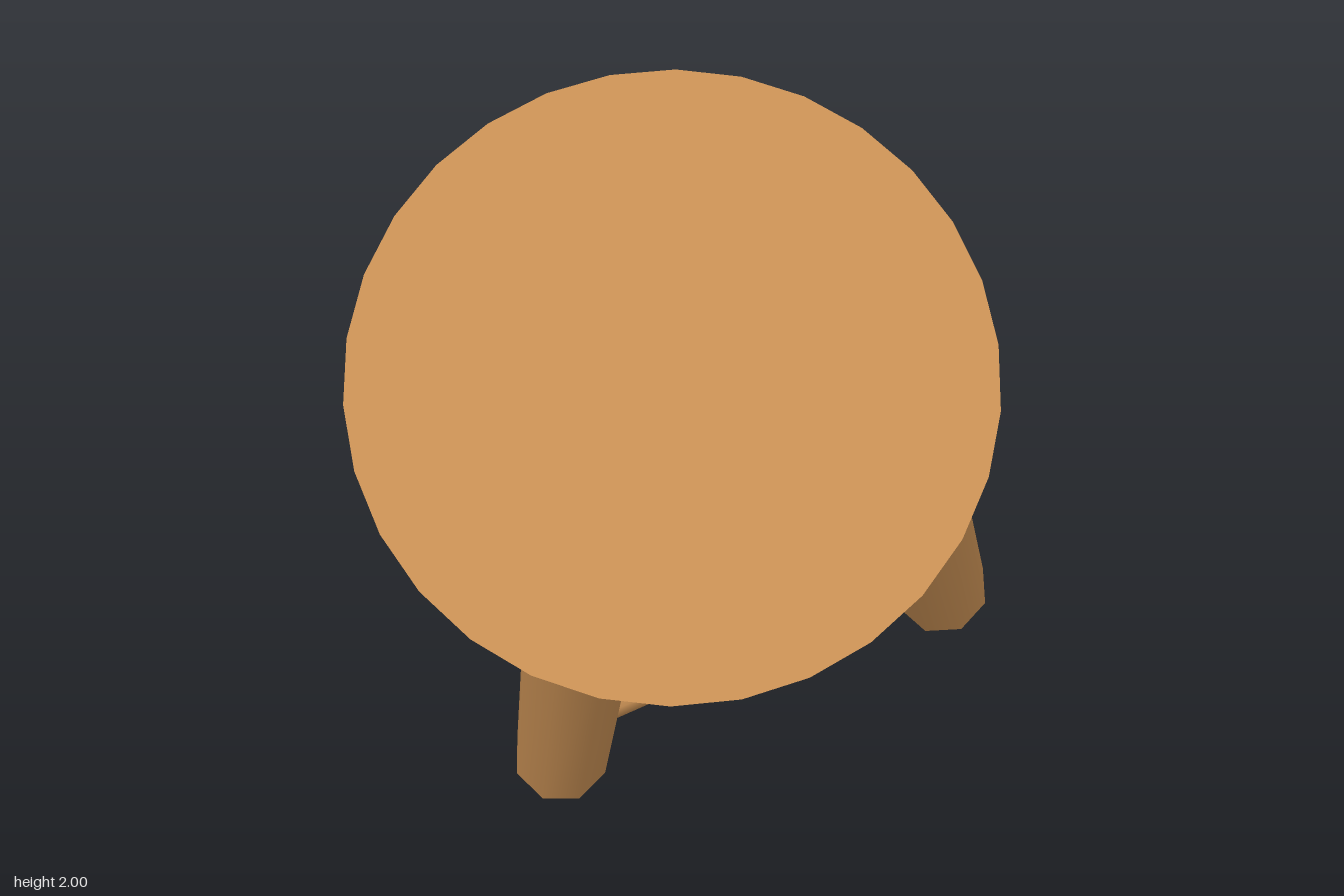
import * as THREE from 'three';

export function createModel() {
  const model = new THREE.Group();
  const wood = new THREE.MeshStandardMaterial({ color: 0xc68e53 });
  wood.name = 'warm wood';

  // Stool in its own upright frame: origin at the centre of the seat top
  const stool = new THREE.Group();
  stool.name = 'stool';
  model.add(stool);

  const UP = new THREE.Vector3(0, 1, 0);
  function rod(name, from, to, radius, sides) {
    const dir = to.clone().sub(from);
    const mesh = new THREE.Mesh(new THREE.CylinderGeometry(radius, radius, dir.length(), sides), wood);
    mesh.name = name;
    mesh.position.copy(from).add(to).multiplyScalar(0.5);
    mesh.quaternion.setFromUnitVectors(UP, dir.normalize());
    stool.add(mesh);
  }

  // Round seat, slightly narrower underneath
  const seat = new THREE.Mesh(new THREE.CylinderGeometry(0.756, 0.724, 0.22, 30), wood);
  seat.name = 'seat';
  seat.position.y = -0.11;
  stool.add(seat);

  // Splayed legs: distance from the middle grows towards the feet
  const topY = -0.18, footY = -1.235;
  const spread = (y) => 0.423 + (topY - y) * 0.1725;
  const legPoint = (sx, sz, y) => new THREE.Vector3(sx * spread(y), y, sz * spread(y));
  for (const sx of [-1, 1]) {
    for (const sz of [-1, 1]) {
      const name = (sz > 0 ? 'front' : 'back') + (sx > 0 ? 'Left' : 'Right') + 'Leg';
      rod(name, legPoint(sx, sz, footY), legPoint(sx, sz, topY), 0.136, 8);
    }
  }

  // Rungs between the legs; the side pair sits lower
  for (const s of [-1, 1]) {
    rod(s > 0 ? 'frontRung' : 'backRung', legPoint(-1, s, -0.85), legPoint(1, s, -0.85), 0.063, 8);
    rod(s > 0 ? 'leftRung' : 'rightRung', legPoint(s, -1, -0.93), legPoint(s, 1, -0.93), 0.055, 8);
  }

  // The whole stool is tipped forward and turned
  const n = new THREE.Vector3(-0.125, 0.767, 0.629).normalize();
  const z = new THREE.Vector3(0.957, 0.245, -0.108).cross(n).normalize();
  const x = n.clone().cross(z);
  stool.quaternion.setFromRotationMatrix(new THREE.Matrix4().makeBasis(x, n, z));
  stool.position.set(-0.13, 1.52, 0.41);
  return model;
}
